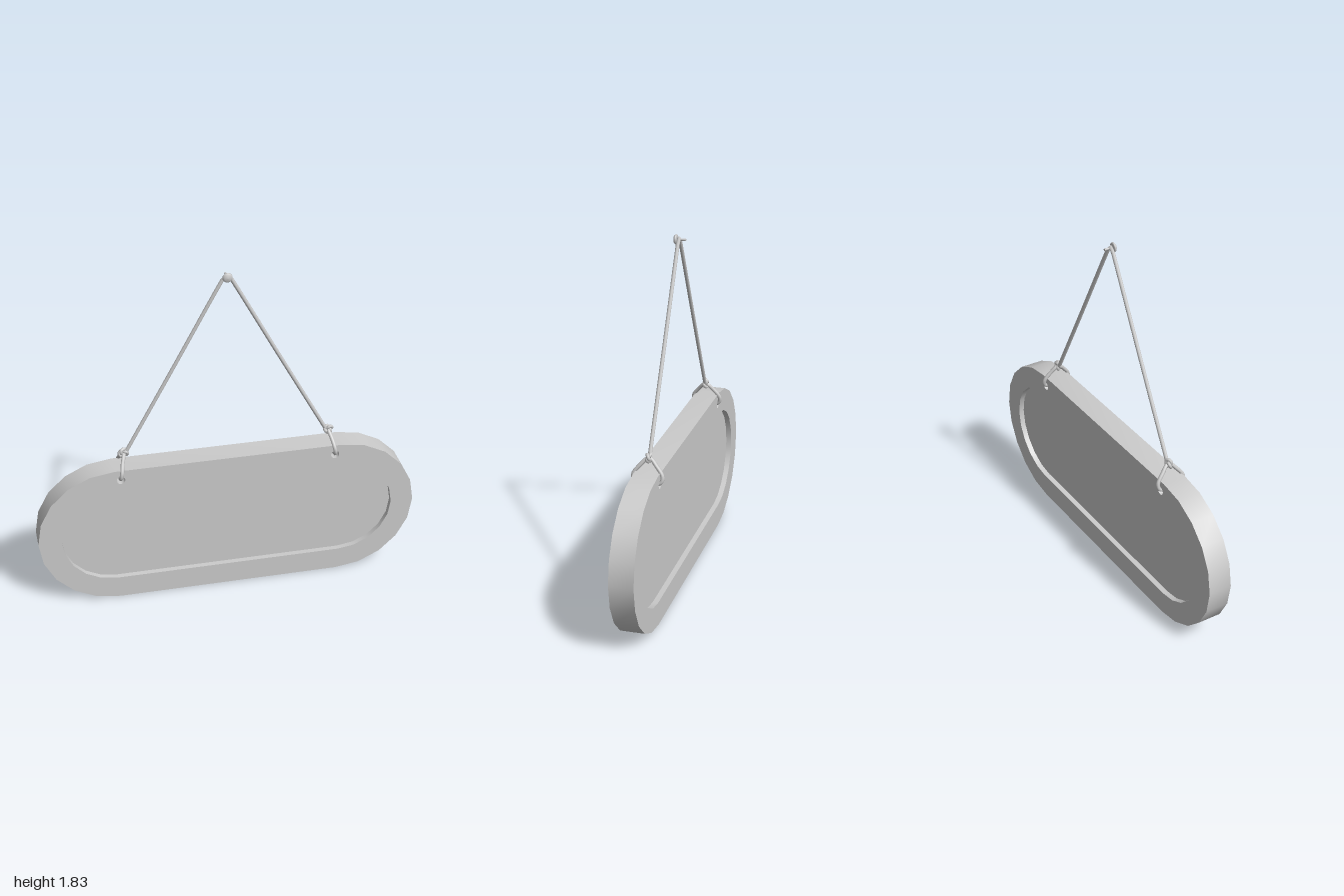
import * as THREE from 'three';
import { toCreasedNormals } from 'three/addons/utils/BufferGeometryUtils.js';

const material = new THREE.MeshStandardMaterial({ color: 0xcccccc });
const V = (x, y, z) => new THREE.Vector3(x, y, z);
const CENTRE_Y = 0.398;

function addMesh(parent, name, geometry, x = 0, y = 0, z = 0) {
  const mesh = new THREE.Mesh(geometry, material);
  mesh.name = name;
  mesh.position.set(x, y, z);
  parent.add(mesh);
  return mesh;
}

// Points of a long shape with round ends
function stadium(halfWidth, halfHeight, straight, segments = 10) {
  const points = [];
  for (const side of [1, -1]) {
    for (let i = 0; i <= segments; i++) {
      const a = -Math.PI / 2 + (Math.PI * i) / segments;
      points.push(new THREE.Vector2(
        side * (straight + Math.cos(a) * (halfWidth - straight)),
        CENTRE_Y + side * Math.sin(a) * halfHeight));
    }
  }
  return points;
}

function extrude(shape, depth) {
  const geometry = new THREE.ExtrudeGeometry(shape, { depth, bevelEnabled: false, curveSegments: 8 });
  geometry.translate(0, 0, -depth / 2);
  return toCreasedNormals(geometry, 0.7);
}

const rope = (points, segments, closed = false, radius = 0.01) =>
  new THREE.TubeGeometry(new THREE.CatmullRomCurve3(points, closed), segments, radius, 8, closed);

export function createModel() {
  const model = new THREE.Group();
  model.name = 'hangingSign';

  // Thick rim with two rope holes
  const rim = new THREE.Shape(stadium(1, 0.398, 0.59));
  rim.holes.push(new THREE.Path(stadium(0.88, 0.274, 0.6)));
  for (const side of [1, -1]) {
    rim.holes.push(new THREE.Path().absarc(side * 0.56, 0.74, 0.022, 0, Math.PI * 2, true));
  }
  addMesh(model, 'rim', extrude(rim, 0.124));

  // Panel sunk on both faces
  addMesh(model, 'panel', extrude(new THREE.Shape(stadium(0.88, 0.274, 0.6)), 0.068));

  // Rope hung over the nail
  addMesh(model, 'hangingRope', rope([
    V(-0.525, 0.86, 0), V(-0.27, 1.327, 0), V(-0.03, 1.77, 0), V(-0.013, 1.798, 0), V(0, 1.805, 0),
    V(0.013, 1.798, 0), V(0.03, 1.77, 0), V(0.27, 1.327, 0), V(0.525, 0.86, 0),
  ], 64));

  // Loop through each hole, tied off with a knot
  for (const side of [1, -1]) {
    const tie = new THREE.Group();
    tie.name = side > 0 ? 'leftTie' : 'rightTie';
    model.add(tie);
    const strand = [[0.545, 0.825, 0.042], [0.555, 0.78, 0.073], [0.56, 0.75, 0.066]];
    const front = strand.map(([x, y, z]) => V(side * x, y, z));
    const back = strand.map(([x, y, z]) => V(side * x, y, -z)).reverse();
    addMesh(tie, 'loop', rope(
      [V(side * 0.532, 0.862, 0), ...front, V(side * 0.56, 0.737, 0), ...back], 48, true));
    const knot = addMesh(tie, 'knot',
      new THREE.TorusKnotGeometry(0.0145, 0.0085, 48, 8, 2, 3), side * 0.534, 0.864, 0);
    knot.rotation.z = side * 0.5;
  }

  // Nail with a domed head and a thin shaft
  const nail = new THREE.Group();
  nail.name = 'nail';
  nail.position.y = 1.8;
  nail.rotation.x = Math.PI / 2;
  model.add(nail);
  const headProfile = [[0, 0.009], [0.02, 0.009], [0.025, 0.013], [0.024, 0.019], [0.016, 0.025], [0, 0.027]];
  addMesh(nail, 'nailHead', new THREE.LatheGeometry(headProfile.map(p => new THREE.Vector2(...p)), 16));
  addMesh(nail, 'nailShaft', new THREE.CylinderGeometry(0.006, 0.006, 0.047, 10), 0, -0.0115, 0);

  return model;
}
